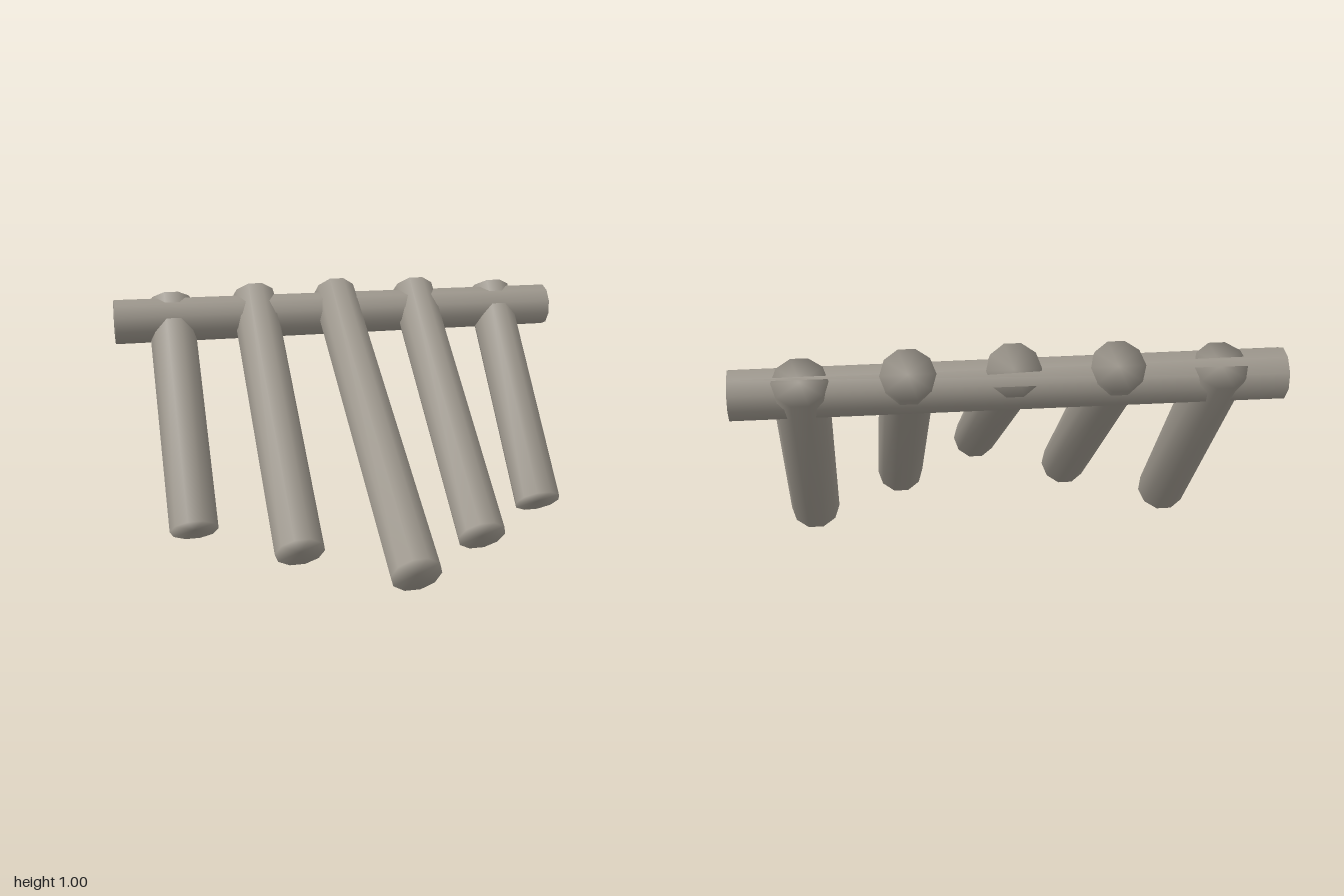
import * as THREE from 'three';
import { mergeVertices } from 'three/addons/utils/BufferGeometryUtils.js';

const SIDES = 10;
const stone = new THREE.MeshStandardMaterial({ color: 0x9c968c });
stone.name = 'warm grey';

// Ten-sided capped rod between two points, with normals shared over the rim
function rod(name, from, to, radiusTop, radiusBottom) {
  const a = new THREE.Vector3(...from);
  const b = new THREE.Vector3(...to);
  const axis = b.clone().sub(a);
  let geometry = new THREE.CylinderGeometry(radiusTop, radiusBottom, axis.length(), SIDES);
  geometry.rotateY(Math.PI / 2);
  geometry.deleteAttribute('uv');
  geometry.deleteAttribute('normal');
  geometry = mergeVertices(geometry);
  geometry.computeVertexNormals();
  const mesh = new THREE.Mesh(geometry, stone);
  mesh.name = name;
  mesh.position.copy(a).add(b).multiplyScalar(0.5);
  mesh.quaternion.setFromUnitVectors(new THREE.Vector3(0, 1, 0), axis.normalize());
  return mesh;
}

export function createModel() {
  const group = new THREE.Group();
  group.name = 'slantedRack';

  // Horizontal bar
  group.add(rod('crossbar', [-1, 0.85, -0.613], [1, 0.85, -0.613], 0.093, 0.098));

  // Slanted rods, longest in the middle: x, foot [y, z], head [y, z]
  const rods = [
    ['middleRod', 0, [0.088, 0.705], [0.925, -0.672]],
    ['innerRod', 0.375, [0.085, 0.367], [0.924, -0.678]],
    ['outerRod', 0.75, [0.09, 0.03], [0.913, -0.68]],
  ];
  for (const [name, x, foot, head] of rods) {
    for (const side of x ? [1, -1] : [1]) {
      const label = x ? name + (side > 0 ? 'Left' : 'Right') : name;
      group.add(rod(label, [side * x, ...foot], [side * x, ...head], 0.1, 0.1));
    }
  }
  return group;
}
